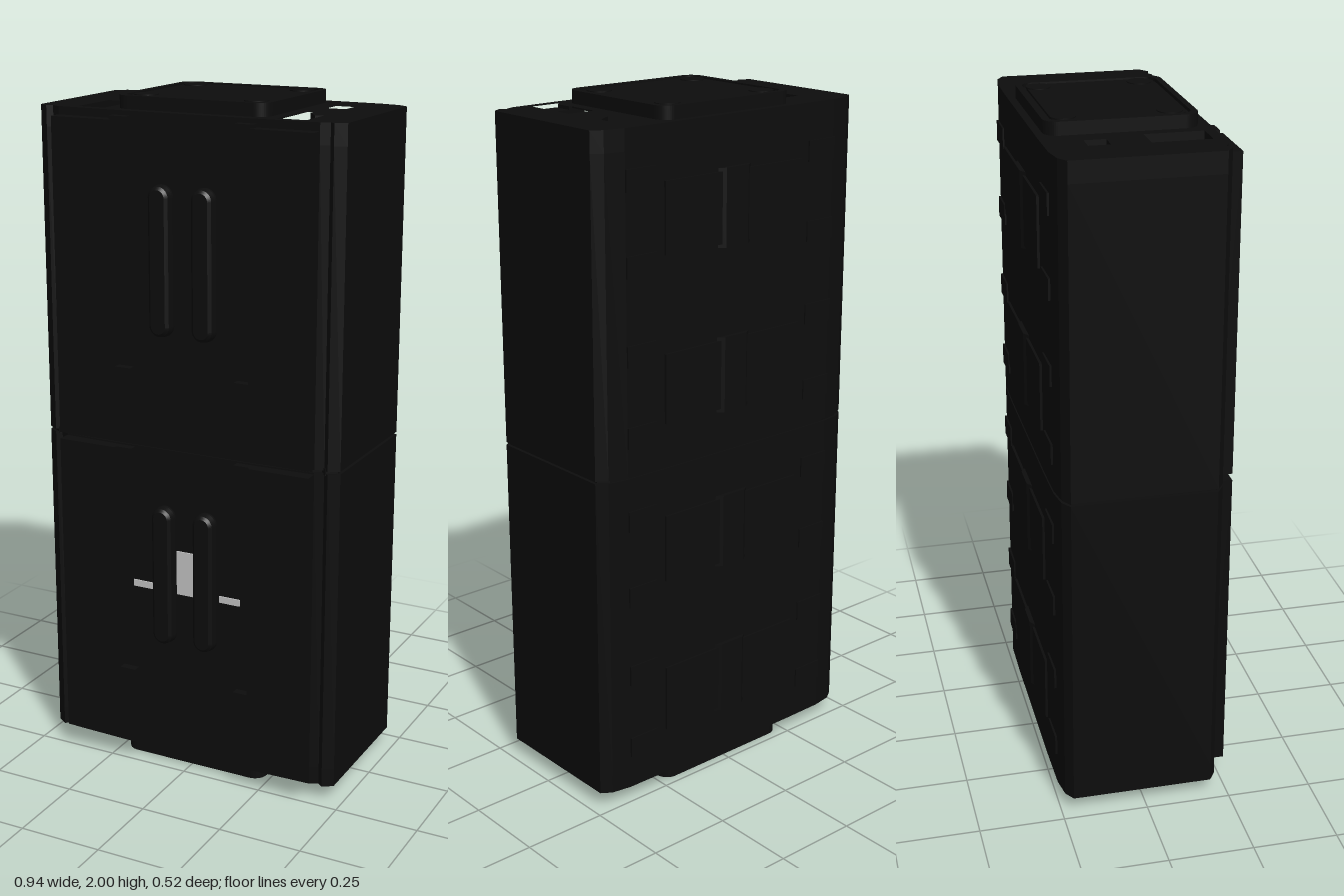
import * as THREE from 'three';

export function createModel() {
  const model = new THREE.Group();
  const black = new THREE.MeshStandardMaterial({ color: 0x0d0d0d });
  black.name = 'black casing';
  const grey = new THREE.MeshStandardMaterial({ color: 0xc8c8c8 });
  grey.name = 'light grey inlay';

  function add(name, geometry, x = 0, y = 0, z = 0, material = black) {
    const mesh = new THREE.Mesh(geometry, material);
    mesh.name = name;
    mesh.position.set(x, y, z);
    model.add(mesh);
    return mesh;
  }
  // box given by its limits
  function block(name, x0, x1, y0, y1, z0, z1, material) {
    return add(name, new THREE.BoxGeometry(x1 - x0, y1 - y0, z1 - z0),
      (x0 + x1) / 2, (y0 + y1) / 2, (z0 + z1) / 2, material);
  }
  // rounded rectangle path, centred at (cx, cy)
  function rounded(w, h, r, cx = 0, cy = 0, path = new THREE.Shape()) {
    const a = w / 2 - r, b = h / 2 - r;
    path.absarc(cx + a, cy + b, r, 0, Math.PI / 2);
    path.absarc(cx - a, cy + b, r, Math.PI / 2, Math.PI);
    path.absarc(cx - a, cy - b, r, Math.PI, Math.PI * 1.5);
    path.absarc(cx + a, cy - b, r, Math.PI * 1.5, Math.PI * 2);
    path.closePath();
    return path;
  }
  // extrude a plan drawn as (x, -z) upwards
  function rise(shape, depth) {
    return new THREE.ExtrudeGeometry(shape, { depth, bevelEnabled: false, curveSegments: 6 })
      .rotateX(-Math.PI / 2);
  }
  // half outline of the casing as (x, z), mirrored to a full plan
  function plan(inset = 0) {
    const half = [[0.25, -0.247], [0.38, -0.245], [0.44, -0.235], [0.47, -0.215],
      [0.47, 0.2], [0.44, 0.22], [0.425, 0.208], [0.4, 0.22], [0.22, 0.226]];
    const all = half.concat(half.map(([x, z]) => [-x, z]).reverse());
    const k = 1 - inset;
    return new THREE.Shape(all.map(([x, z]) => new THREE.Vector2(x * k, -z * k)));
  }
  function rectHole(x0, x1, z0, z1) {
    return new THREE.Path([[x0, -z0], [x1, -z0], [x1, -z1], [x0, -z1]]
      .map(([x, y]) => new THREE.Vector2(x, y)));
  }

  // two stacked casing halves with a narrow seam
  add('lowerCasing', rise(plan(), 0.905), 0, 0.1, 0);
  add('upperCasing', rise(plan(), 0.89), 0, 1.013, 0);
  add('seamCore', rise(plan(0.02), 0.02), 0, 1, 0);

  // end plates with side recesses
  const endPlan = plan();
  for (const s of [-1, 1]) {
    endPlan.holes.push(rectHole(s * 0.265, s * 0.35, 0.03, 0.195));
    endPlan.holes.push(rectHole(s * 0.29, s * 0.345, -0.135, -0.075));
  }
  add('bottomPlate', rise(endPlan, 0.055), 0, 0.045, 0);
  add('topPlate', rise(endPlan, 0.06), 0, 1.903, 0);

  // end connectors: base, raised rim, inner pad and corner studs
  const rim = rounded(0.465, 0.42, 0.04);
  rim.holes.push(rounded(0.43, 0.385, 0.03, 0, 0, new THREE.Path()));
  for (const top of [false, true]) {
    const place = (name, shape, h0, h1) =>
      add(name, rise(shape, h1 - h0), 0, top ? 1.96 + h0 : 0.04 - h1, -0.015);
    place('connectorBase', rounded(0.465, 0.42, 0.04), -0.01, 0.03);
    place('connectorRim', rim, 0.03, 0.04);
    place('connectorPad', rounded(0.41, 0.365, 0.03), 0.03, 0.037);
    for (const x of [-0.17, 0.17]) for (const z of [-0.165, 0.125]) {
      add('connectorStud', new THREE.CylinderGeometry(0.035, 0.035, 0.006, 20),
        x, top ? 1.997 : 0.003, z);
    }
    // small latches beside the recesses
    for (const s of [-1, 1]) {
      const latch = block('sideLatch', -0.03, 0.03, 0, 0.04, -0.035, 0.035);
      latch.position.set(s * 0.305, top ? 1.935 : 0.065, -0.015);
      latch.rotation.y = s * 0.6;
    }
  }

  // front: thick side panels, inner steps and central ribs on each half
  const ribShape = rounded(0.045, 0.405, 0.022);
  const ribGeometry = new THREE.ExtrudeGeometry(ribShape, {
    depth: 0.006, bevelThickness: 0.026, bevelSize: 0.012, bevelSegments: 2, curveSegments: 6,
  });
  for (const s of [-1, 1]) {
    const side = (name, a, b, y0, y1, z1) =>
      block(name, Math.min(s * a, s * b), Math.max(s * a, s * b), y0, y1, 0.2, z1);
    side('frontPanel', 0.215, 0.4, 0.07, 1.0, 0.26);
    side('frontPanel', 0.215, 0.4, 1.02, 1.94, 0.26);
    for (const [y0, y1] of [[0.06, 0.3], [0.71, 1.0], [1.02, 1.24], [1.65, 1.95]]) {
      side('panelStep', 0.165, 0.22, y0, y1, 0.25);
    }
    for (const y of [0.62, 1.555]) add('frontRib', ribGeometry, s * 0.067, y, 0.228);
    block('lightSlot', s * 0.142 - 0.033, s * 0.142 + 0.033, 0.565, 0.585, 0.222, 0.23, grey);
  }
  block('centreSlot', -0.03, 0.026, 0.565, 0.7, 0.222, 0.23, grey);

  // back: tapered centre pads and rows of low ridges
  const padShape = new THREE.Shape([[-0.07, 0.24], [0.07, 0.24], [0.04, 0.26], [-0.04, 0.26]]
    .map(([x, y]) => new THREE.Vector2(x, y)));
  for (let i = 0; i < 4; i++) {
    const y = 0.29 + i * 0.474;
    add('backPad', rise(padShape, 0.22), 0, y - 0.11, 0);
    block('backPanel', -0.25, 0.25, y - 0.1, y + 0.1, -0.254, -0.24);
    for (const dy of [-0.115, 0.115]) for (const x of [-0.33, 0.33]) {
      block('backRidge', x - 0.05, x + 0.05, y + dy - 0.03, y + dy + 0.03, -0.251, -0.235);
    }
  }

  // pale strips on the underside
  for (let i = 0; i < 4; i++) {
    const z = -0.16 + i * 0.1;
    block('undersideInlay', 0.37, 0.43, 0.042, 0.047, z - 0.03, z + 0.03, grey);
  }
  return model;
}
